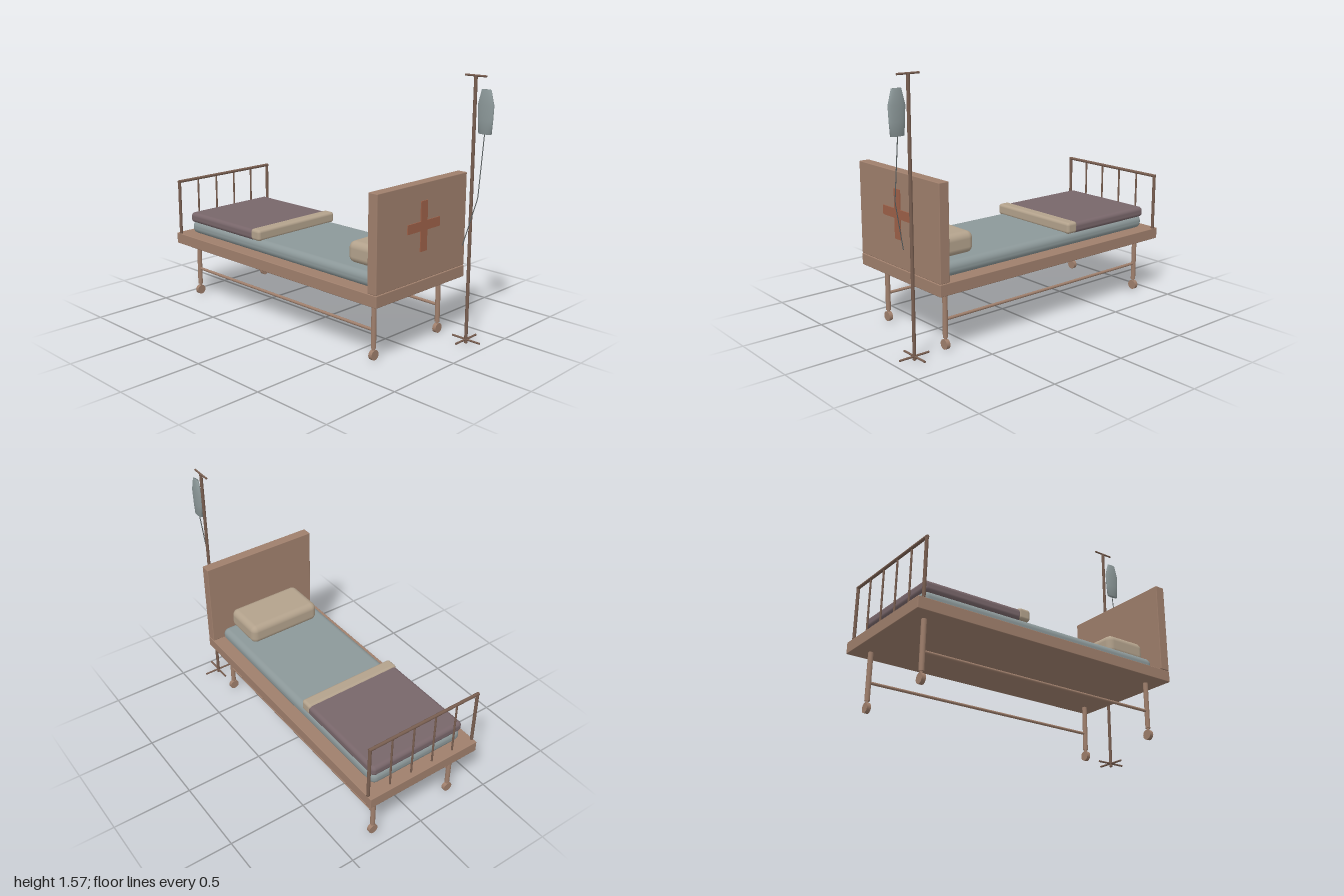
import * as THREE from 'three';
import { RoundedBoxGeometry } from 'three/addons/geometries/RoundedBoxGeometry.js';

const material = (name, color) => {
  const m = new THREE.MeshStandardMaterial({ color });
  m.name = name;
  return m;
};

export function createModel() {
  const wood = material('warm brown frame', 0x9f7f6c);
  const metal = material('dark brown metal', 0x785e50);
  const sheet = material('blue grey sheet', 0x8c9899);
  const blanketColor = material('mauve blanket', 0x78666a);
  const linen = material('cream linen', 0xb3a28c);
  const red = material('rust red', 0x9c6048);
  const hose = material('dark grey hose', 0x5c6263);

  const model = new THREE.Group();
  model.name = 'hospitalBed';

  const add = (parent, name, geometry, mat) => {
    const mesh = new THREE.Mesh(geometry, mat);
    mesh.name = name;
    parent.add(mesh);
    return mesh;
  };
  // Box given by its min and max on each axis, with optional rounding
  const box = (parent, name, [x0, x1], [y0, y1], [z0, z1], mat, r = 0) => {
    const size = [x1 - x0, y1 - y0, z1 - z0];
    const geo = r ? new RoundedBoxGeometry(...size, 4, r) : new THREE.BoxGeometry(...size);
    const mesh = add(parent, name, geo, mat);
    mesh.position.set((x0 + x1) / 2, (y0 + y1) / 2, (z0 + z1) / 2);
    return mesh;
  };
  // Round bar between two points
  const bar = (parent, name, a, b, r, mat) => {
    const from = new THREE.Vector3(...a), to = new THREE.Vector3(...b);
    const dir = to.clone().sub(from);
    const mesh = add(parent, name, new THREE.CylinderGeometry(r, r, dir.length(), 12), mat);
    mesh.position.copy(from).add(to).multiplyScalar(0.5);
    mesh.quaternion.setFromUnitVectors(new THREE.Vector3(0, 1, 0), dir.normalize());
    return mesh;
  };

  // Bed base and headboard
  box(model, 'bedBase', [-1, 0.766], [0.36, 0.43], [-0.388, 0.388], wood, 0.004);
  box(model, 'headboard', [0.7, 0.764], [0.432, 0.99], [-0.388, 0.388], wood, 0.004);

  // Cross plate on the outside of the headboard
  const cross = new THREE.Group();
  cross.name = 'headboardCross';
  model.add(cross);
  box(cross, 'crossUpright', [0.763, 0.77], [0.6, 0.89], [-0.028, 0.028], red);
  for (const s of [-1, 1]) {
    box(cross, 'crossArm', [0.763, 0.77], [0.72, 0.775], s < 0 ? [-0.14, -0.028] : [0.028, 0.14], red);
  }

  // Foot rail: end posts, spindles and top rail
  const footRail = new THREE.Group();
  footRail.name = 'footRail';
  model.add(footRail);
  const fx = -0.964, fz = 0.38;
  bar(footRail, 'topRail', [fx, 0.78, -fz - 0.008], [fx, 0.78, fz + 0.008], 0.01, metal);
  for (let i = 0; i <= 5; i++) {
    const z = -fz + (2 * fz * i) / 5;
    const end = i === 0 || i === 5;
    bar(footRail, end ? 'post' : 'spindle', [fx, 0.43, z], [fx, 0.785, z], end ? 0.01 : 0.006, metal);
  }

  // Legs with wheels, and the lengthwise braces
  for (const z of [-0.285, 0.285]) {
    for (const x of [-0.9, 0.66]) {
      const leg = new THREE.Group();
      leg.name = 'leg';
      model.add(leg);
      bar(leg, 'legTube', [x, 0.075, z], [x, 0.362, z], 0.015, wood);
      bar(leg, 'wheelStem', [x, 0.04, z], [x, 0.078, z], 0.009, wood);
      bar(leg, 'wheel', [x - 0.012, 0.035, z], [x + 0.012, 0.035, z], 0.03, wood)
        .geometry = new THREE.CylinderGeometry(0.03, 0.03, 0.024, 24);
    }
    bar(model, 'sideBrace', [-0.9, 0.182, z], [0.66, 0.182, z], 0.009, wood);
  }

  // Bedding
  box(model, 'mattress', [-0.93, 0.695], [0.43, 0.515], [-0.322, 0.322], sheet, 0.038);
  box(model, 'blanket', [-0.932, -0.3], [0.504, 0.57], [-0.325, 0.325], blanketColor, 0.024);
  box(model, 'blanketFold', [-0.325, -0.245], [0.508, 0.578], [-0.327, 0.327], linen, 0.018);
  box(model, 'pillow', [0.415, 0.695], [0.513, 0.64], [-0.248, 0.248], linen, 0.04);

  // Drip stand
  const stand = new THREE.Group();
  stand.name = 'dripStand';
  model.add(stand);
  const sx = 0.873, sz = -0.286;
  bar(stand, 'pole', [sx, 0, sz], [sx, 1.56, sz], 0.01, metal);
  bar(stand, 'hangerBar', [sx - 0.07, 1.56, sz], [sx + 0.07, 1.56, sz], 0.006, metal);
  bar(stand, 'footBar', [sx - 0.098, 0.022, sz], [sx + 0.098, 0.022, sz], 0.006, metal);
  bar(stand, 'footBar', [sx, 0.022, sz - 0.098], [sx, 0.022, sz + 0.098], 0.006, metal);

  // Flattened drip bag
  const profile = [[0, 1.245], [0.043, 1.245], [0.049, 1.32], [0.053, 1.405], [0.031, 1.49], [0, 1.49]];
  const bag = add(stand, 'dripBag', new THREE.LatheGeometry(
    profile.map(([r, y]) => new THREE.Vector2(r, y)), 24), sheet);
  bag.scale.z = 0.33;
  bag.position.set(0.947, 0, sz);

  // Hose from the bag down toward the bed
  const path = new THREE.CurvePath();
  const points = [[0.945, 1.25, sz], [0.945, 0.89, -0.246], [0.877, 0.61, -0.212]]
    .map((p) => new THREE.Vector3(...p));
  path.add(new THREE.LineCurve3(points[0], points[1]));
  path.add(new THREE.LineCurve3(points[1], points[2]));
  add(stand, 'hose', new THREE.TubeGeometry(path, 24, 0.003, 6), hose);

  return model;
}
